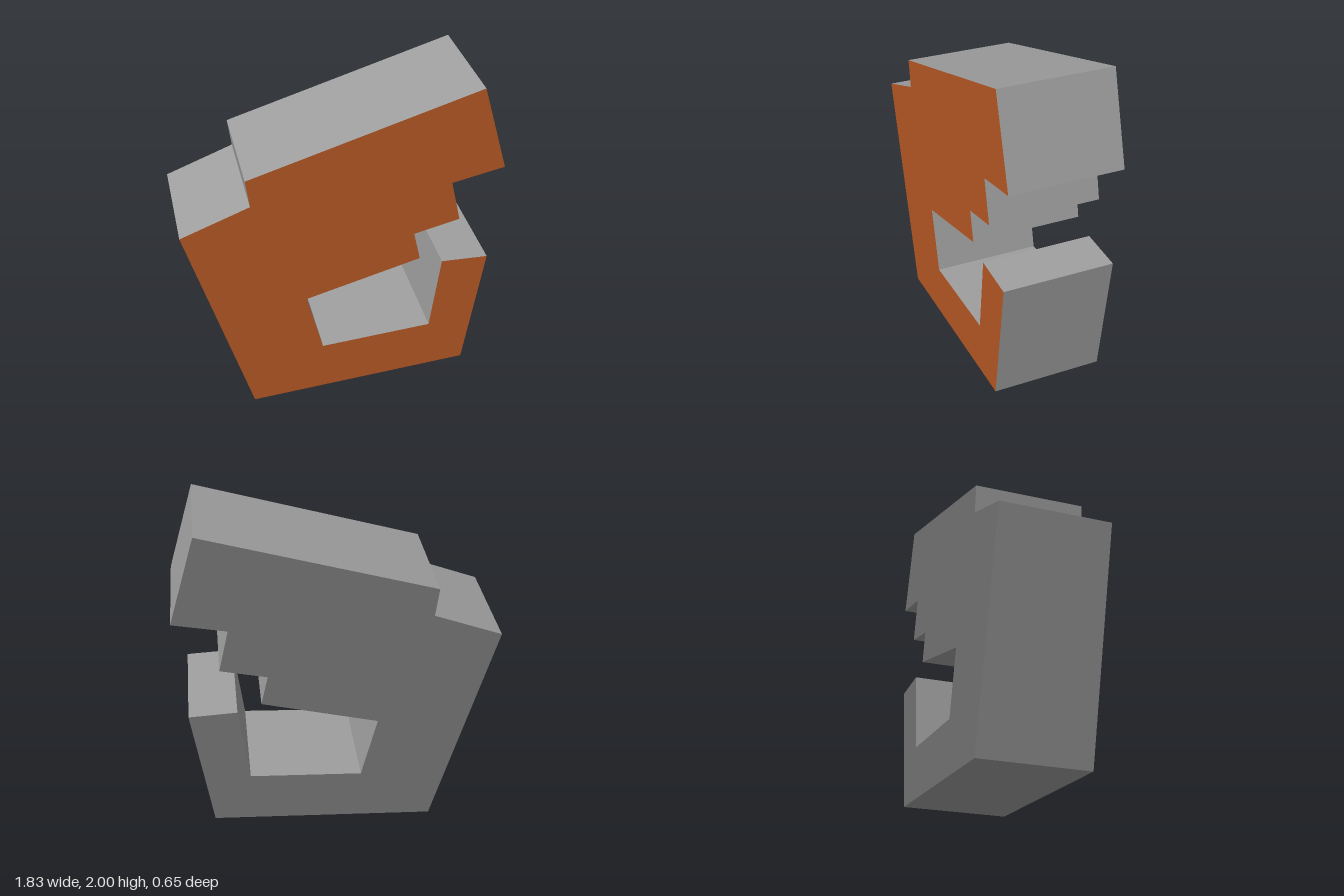
import * as THREE from 'three';

const DEPTH = 0.65;

// Outline of the slab, counter-clockwise from the lower left corner
const OUTLINE = [
  [-0.56, 0], [0.757, 0.092], [0.862, 0.868], [0.585, 0.877], // base and upright prong
  [0.53, 0.4], [-0.13, 0.355], [-0.225, 0.742],               // inner notch
  [0.447, 0.925], [0.405, 1.107], [0.67, 1.17],               // stepped underside
  [0.61, 1.425], [0.912, 1.488], [0.757, 2],                  // upper tip
  [-0.545, 1.607], [-0.525, 1.44], [-0.915, 1.29],            // top and rear shoulder
];

export function createModel() {
  const group = new THREE.Group();
  group.name = 'steppedHook';

  const shape = new THREE.Shape(OUTLINE.map(([x, y]) => new THREE.Vector2(x, y)));
  const geometry = new THREE.ExtrudeGeometry(shape, { depth: DEPTH, bevelEnabled: false });
  geometry.translate(0, 0, -DEPTH / 2);

  // The caps come first, back then front, followed by the edge walls
  const capCount = geometry.groups[0].count;
  const total = geometry.attributes.position.count;
  geometry.clearGroups();
  geometry.addGroup(0, capCount / 2, 0);
  geometry.addGroup(capCount / 2, capCount / 2, 1);
  geometry.addGroup(capCount, total - capCount, 2);

  // Dark grey back, orange-brown front, mid grey edges
  const materials = [0x757575, 0xb65824, 0xa0a0a0].map(
    (color) => new THREE.MeshStandardMaterial({ color }));
  const slab = new THREE.Mesh(geometry, materials);
  slab.name = 'slab';
  group.add(slab);

  return group;
}
